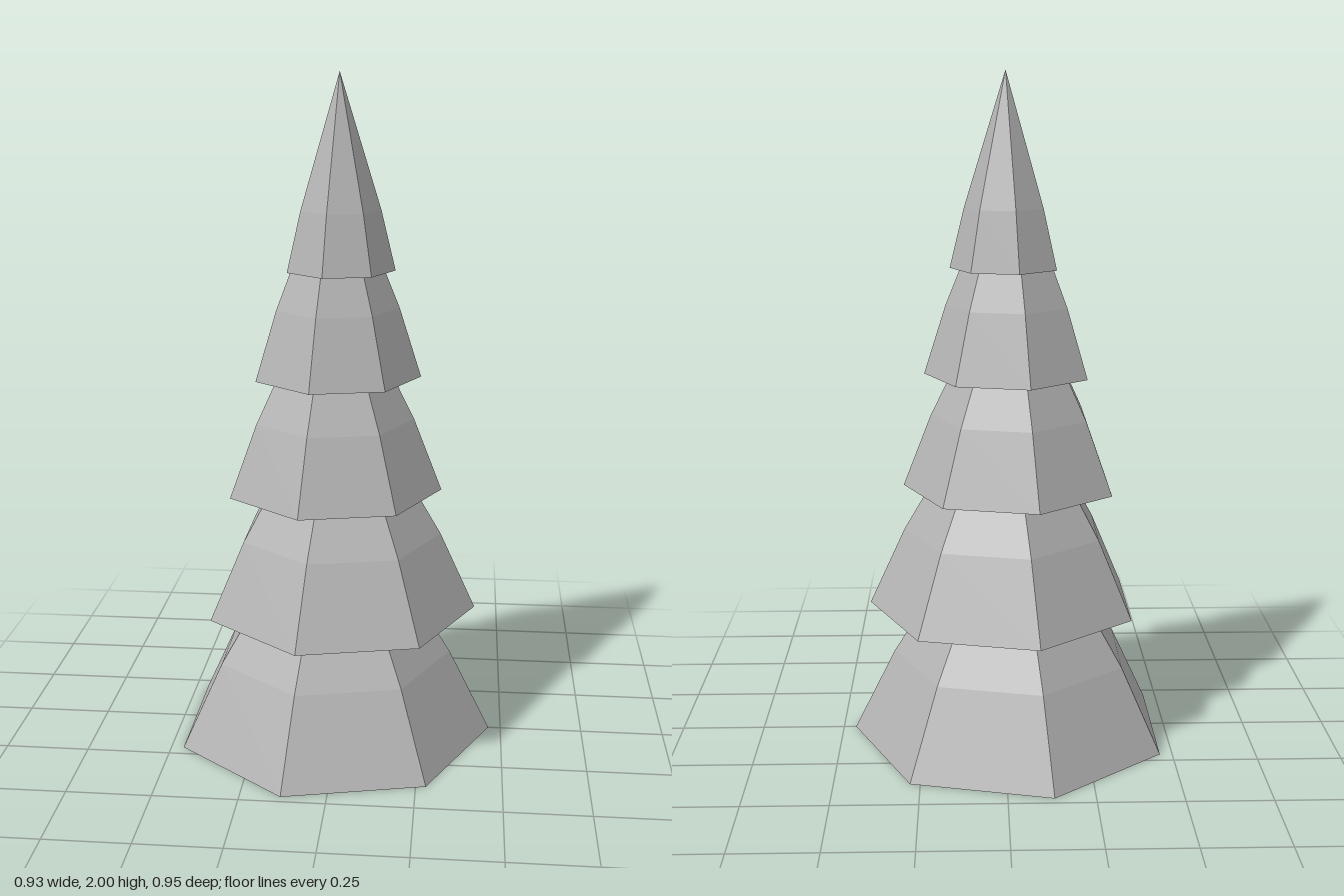
import * as THREE from 'three';

// Stacked seven-sided tiers, bottom to top: radius, base height, height, centre offset
const TIERS = [
  { r: 0.487, y: 0, h: 0.825, x: -0.024, z: 0 },
  { r: 0.412, y: 0.41, h: 0.755, x: -0.003, z: 0.01 },
  { r: 0.324, y: 0.783, h: 0.70, x: -0.022, z: 0.01 },
  { r: 0.25, y: 1.127, h: 0.66, x: -0.014, z: 0.001 },
  { r: 0.162, y: 1.44, h: 0.56, x: -0.004, z: -0.001 },
];
const SIDES = 7;

// Slightly bulging cone side; one corner points to +x
function sideGeometry(r, h) {
  const profile = [
    [r, 0],
    [0.74 * r, 0.31 * h],
    [0, h],
  ].map(([px, py]) => new THREE.Vector2(px, py));
  return new THREE.LatheGeometry(profile, SIDES, Math.PI / 2);
}

// Flat heptagon closing the tier, facing down
function undersideGeometry(r) {
  return new THREE.CircleGeometry(r, SIDES).rotateX(Math.PI / 2);
}

function makeMaterial(name, color) {
  const material = new THREE.MeshStandardMaterial({ color });
  material.name = name;
  material.flatShading = true;
  return material;
}

export function createModel() {
  const tree = new THREE.Group();
  tree.name = 'tree';

  const foliage = makeMaterial('foliage light grey', 0xb3b3b3);
  const shade = makeMaterial('underside dark grey', 0x6c6c6c);

  TIERS.forEach(({ r, y, h, x, z }, i) => {
    const tier = new THREE.Group();
    tier.name = `foliageTier${i + 1}`;
    tier.position.set(x, y, z);

    const side = new THREE.Mesh(sideGeometry(r, h), foliage);
    side.name = 'tierSide';
    const underside = new THREE.Mesh(undersideGeometry(r), shade);
    underside.name = 'tierUnderside';

    tier.add(side, underside);
    tree.add(tier);
  });

  return tree;
}
